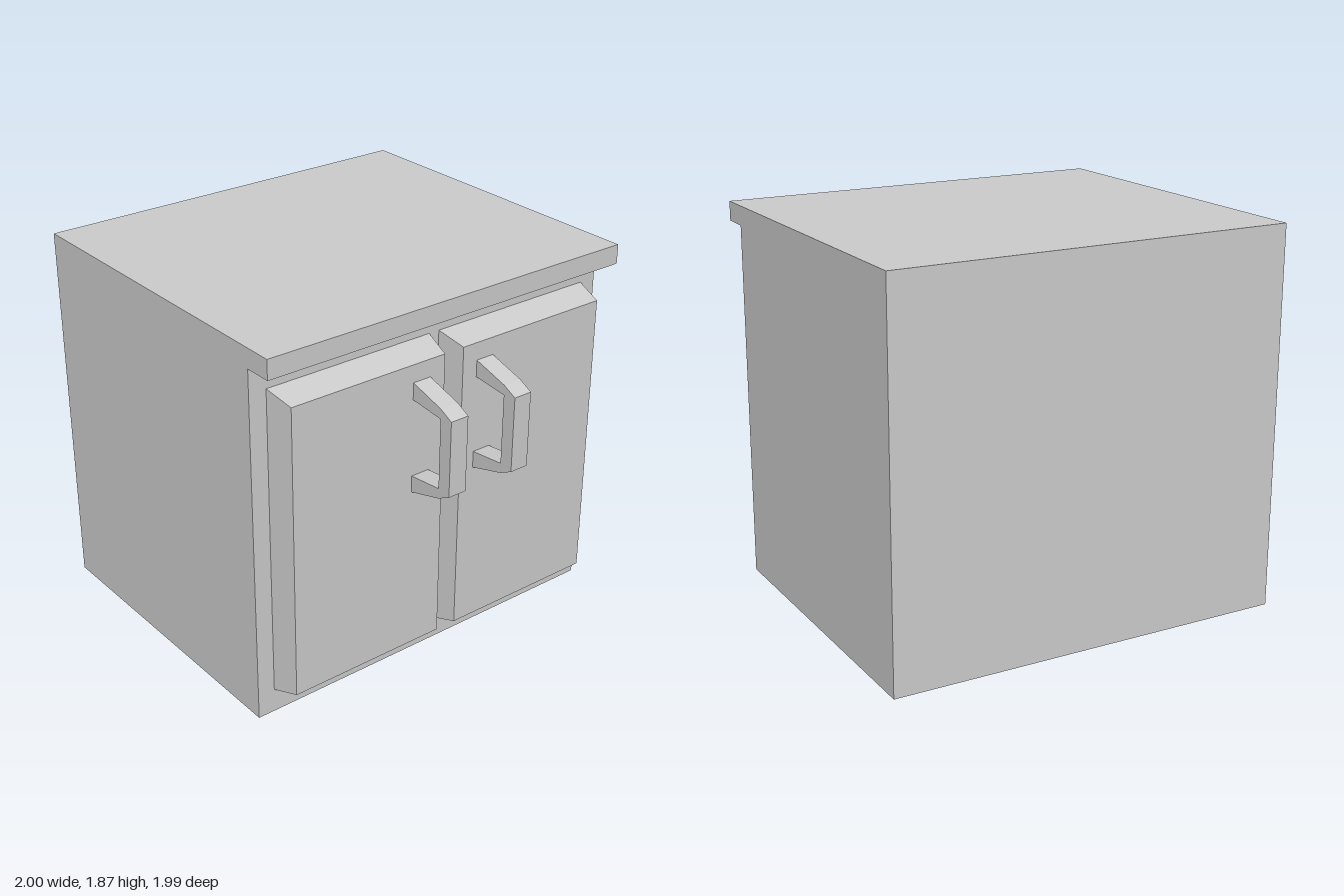
import * as THREE from 'three';

const material = new THREE.MeshStandardMaterial({ color: 0xcccccc, flatShading: true });

// Extrude a side profile of [z, y] points across a width centred on x = 0
function sideExtrude(points, width) {
  const shape = new THREE.Shape(points.map(([z, y]) => new THREE.Vector2(z, y)));
  const geometry = new THREE.ExtrudeGeometry(shape, { depth: width, bevelEnabled: false });
  geometry.translate(0, 0, -width / 2);
  geometry.rotateY(-Math.PI / 2);
  return geometry;
}

// Raised panel: a box whose front face is inset to give sloping edges
function panelGeometry(width, height, depth, insetX, insetY) {
  const geometry = new THREE.BoxGeometry(width, height, depth);
  const pos = geometry.attributes.position;
  for (let i = 0; i < pos.count; i++) {
    if (pos.getZ(i) > 0) {
      pos.setX(i, pos.getX(i) - Math.sign(pos.getX(i)) * insetX);
      pos.setY(i, pos.getY(i) - Math.sign(pos.getY(i)) * insetY);
    }
  }
  geometry.computeVertexNormals();
  return geometry;
}

function addMesh(parent, name, geometry, x = 0, y = 0, z = 0) {
  const mesh = new THREE.Mesh(geometry, material);
  mesh.name = name;
  mesh.position.set(x, y, z);
  parent.add(mesh);
}

export function createModel() {
  const model = new THREE.Group();
  model.name = 'cabinet';

  const back = -0.995, bodyFront = 0.603, doorFront = 0.742, handleFront = 0.995;

  // Cabinet body with the overhanging worktop
  addMesh(model, 'bodyAndWorktop', sideExtrude([
    [back, 0], [bodyFront, 0], [bodyFront, 1.777], [doorFront, 1.777],
    [doorFront, 1.873], [back, 1.873],
  ], 2));

  // Doors and their angular pull handles, mirrored left and right
  const doorDepth = doorFront - bodyFront;
  const door = panelGeometry(0.884, 1.54, doorDepth, 0.026, 0.04);
  const handle = sideExtrude([
    [doorFront, 0.985], [0.925, 1.037], [handleFront, 1.073], [handleFront, 1.445],
    [0.925, 1.48], [doorFront, 1.533], [doorFront, 1.45], [0.925, 1.431],
    [0.925, 1.087], [doorFront, 1.068],
  ], 0.096);

  for (const [side, label] of [[1, 'left'], [-1, 'right']]) {
    addMesh(model, label + 'Door', door, side * 0.47, 0.89, bodyFront + doorDepth / 2);
    addMesh(model, label + 'Handle', handle, side * 0.184);
  }
  return model;
}
